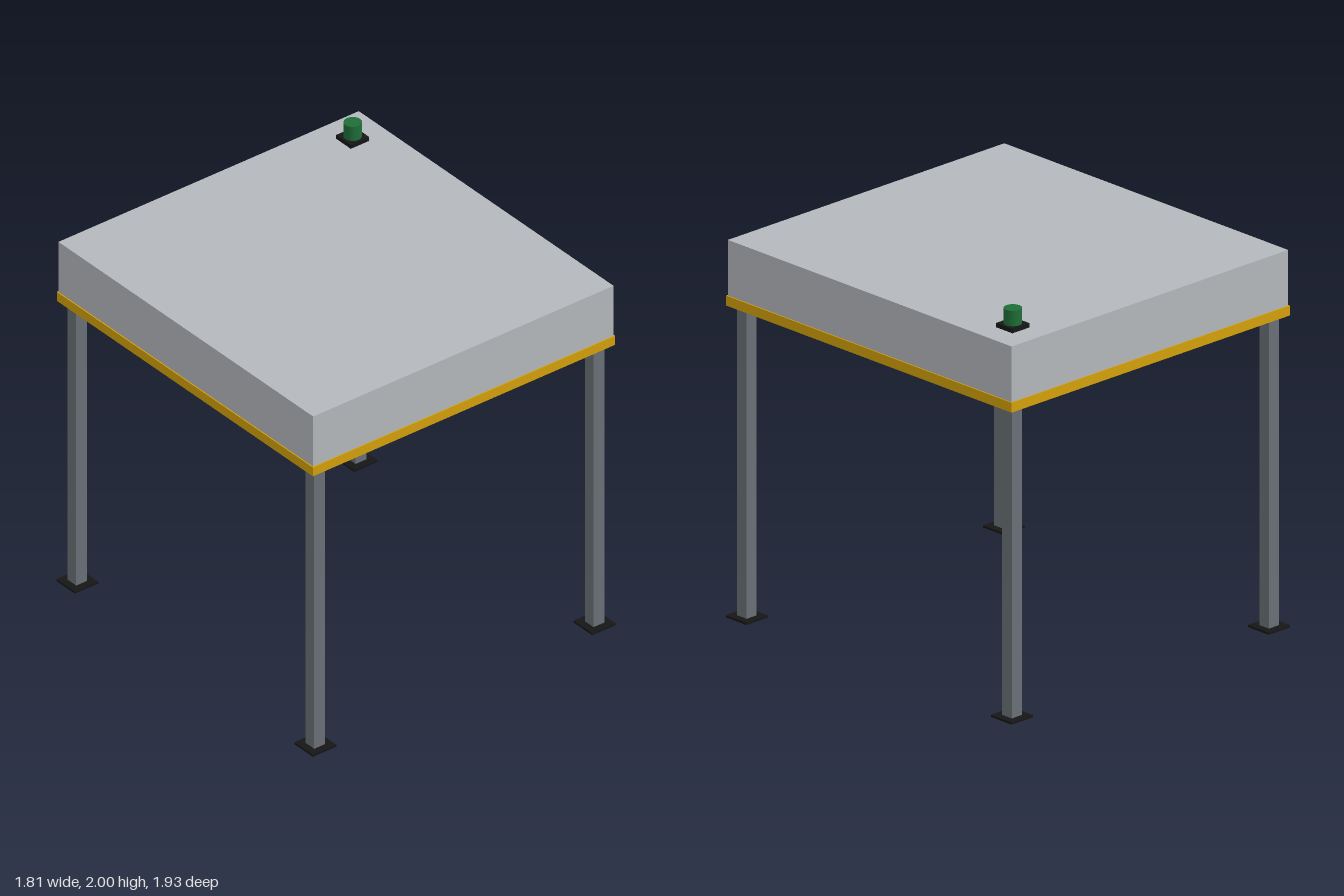
import * as THREE from 'three';

const paint = (name, color) => {
  const m = new THREE.MeshStandardMaterial({ color });
  m.name = name;
  return m;
};

export function createModel() {
  const model = new THREE.Group();
  model.name = 'machineHood';
  const panelGrey = paint('panel grey', 0xb4b8bc);
  const safetyYellow = paint('safety yellow', 0xd4a00a);
  const legGrey = paint('leg grey', 0x697076);
  const black = paint('black', 0x161616);
  const green = paint('beacon green', 0x1f6e38);

  const add = (name, geometry, material, x, y, z) => {
    const mesh = new THREE.Mesh(geometry, material);
    mesh.name = name;
    mesh.position.set(x, y, z);
    model.add(mesh);
    return mesh;
  };
  // Box given by its bottom and top heights
  const box = (name, material, w, d, y0, y1, x = 0, z = 0) =>
    add(name, new THREE.BoxGeometry(w, y1 - y0, d), material, x, (y0 + y1) / 2, z);

  // Housing with the intake panel underneath
  box('housing', panelGrey, 1.8, 1.916, 1.569, 1.9);
  box('undersidePanel', black, 1.44, 1.0, 1.552, 1.57);

  // Yellow band around the lower edge, open in the middle
  const band = new THREE.Shape([[-0.906, -0.963], [0.906, -0.963], [0.906, 0.963], [-0.906, 0.963]]
    .map(([x, y]) => new THREE.Vector2(x, y)));
  band.holes.push(new THREE.Path([[-0.899, -0.957], [-0.899, 0.957], [0.899, 0.957], [0.899, -0.957]]
    .map(([x, y]) => new THREE.Vector2(x, y))));
  const bandGeometry = new THREE.ExtrudeGeometry(band, { depth: 0.05, bevelEnabled: false });
  bandGeometry.rotateX(-Math.PI / 2);
  add('edgeBand', bandGeometry, safetyYellow, 0, 1.57, 0);

  // Legs running through their foot plates
  for (const sx of [-1, 1]) {
    for (const sz of [-1, 1]) {
      box('leg', legGrey, 0.065, 0.065, 0, 1.569, sx * 0.837, sz * 0.895);
      box('footPlate', black, 0.14, 0.14, 0.002, 0.013, sx * 0.837, sz * 0.895);
    }
  }

  // Signal beacon on the back left corner
  box('beaconBase', black, 0.11, 0.11, 1.9, 1.922, 0.724, -0.783);
  add('beaconLens', new THREE.CylinderGeometry(0.044, 0.044, 0.078, 16), green, 0.724, 1.961, -0.783);

  return model;
}
